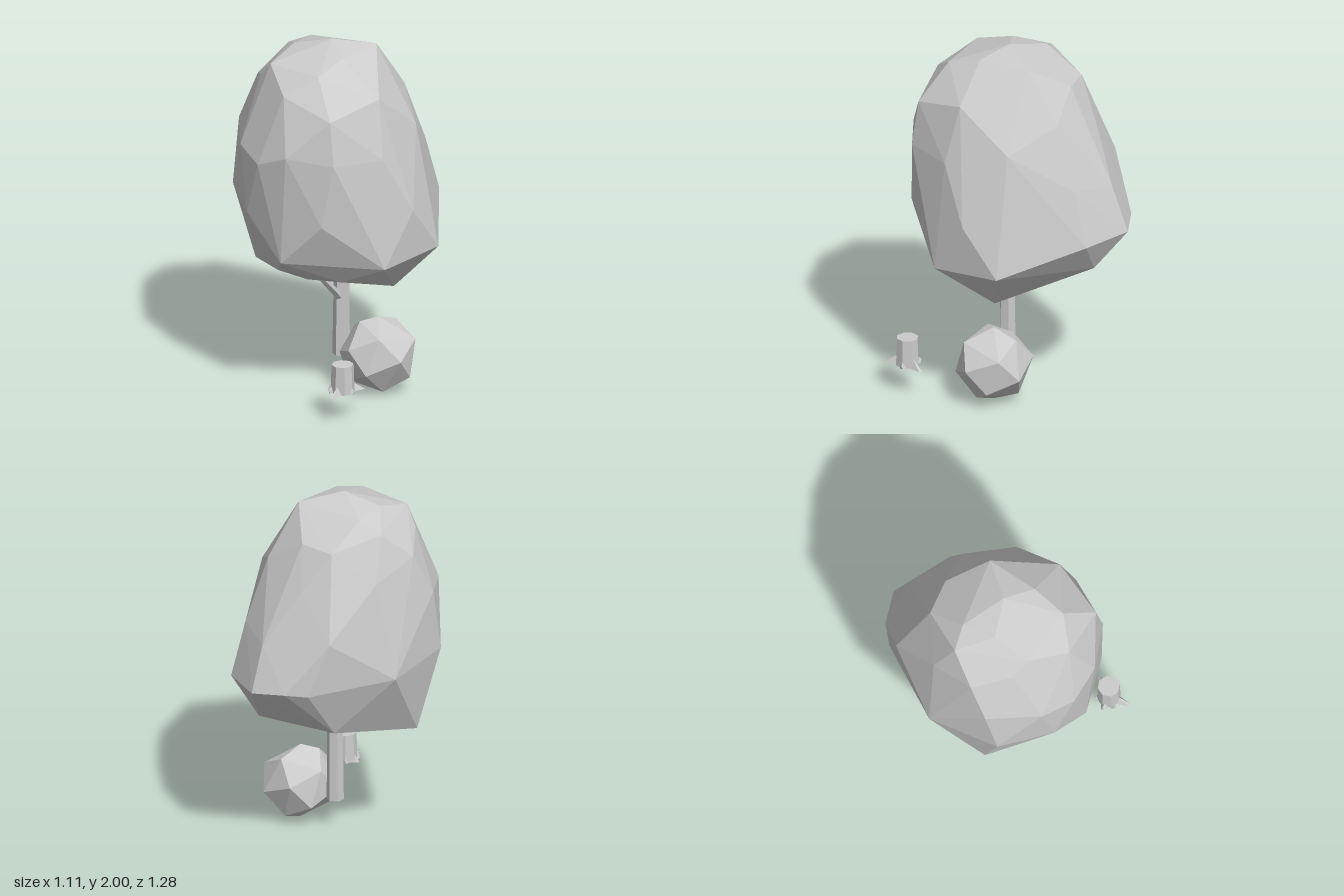
import * as THREE from 'three';
import { ConvexGeometry } from 'three/addons/geometries/ConvexGeometry.js';

const V = (x, y, z) => new THREE.Vector3(x, y, z);

// Corners of the leafy crown, tier by tier from the top down
const crownTiers = [
  [[-0.03, 2, 0.08], [0.13, 1.95, -0.11], [-0.26, 1.93, -0.04], [0.12, 1.95, 0.185], [-0.235, 1.95, 0.15], [-0.39, 1.87, -0.01]],
  [[0.1, 1.895, 0.38], [-0.237, 1.895, 0.365], [-0.04, 1.79, 0.51], [-0.33, 1.8, 0.33], [0.37, 1.77, 0.19], [-0.055, 1.805, -0.28], [-0.25, 1.79, -0.255]],
  [[0.26, 1.7, 0.49], [-0.48, 1.72, 0.15], [-0.445, 1.62, -0.11], [0.175, 1.67, -0.305], [0.4, 1.54, -0.11], [-0.15, 1.575, -0.385]],
  [[0.3, 1.455, 0.51], [0.05, 1.48, 0.615], [-0.145, 1.4, 0.607], [-0.33, 1.45, 0.515], [-0.52, 1.49, 0.27], [0.44, 1.45, 0.25]],
  [[-0.01, 1.275, -0.55], [0.225, 1.32, -0.43], [-0.37, 1.33, -0.4]],
  [[0.535, 1.13, 0.1], [0.24, 1.095, 0.54], [-0.26, 1.08, 0.55], [-0.51, 1.13, 0.34], [-0.555, 1.08, -0.07]],
  [[-0.014, 1.02, -0.64], [0.255, 1.01, -0.515], [-0.295, 1.03, -0.49], [-0.2, 1.04, -0.575]],
  [[0, 0.85, 0.59], [0.485, 0.83, 0.29], [0.55, 0.86, -0.11], [0.08, 0.81, -0.48], [-0.3, 0.755, -0.285]],
  [[-0.13, 0.735, 0.44], [0.23, 0.72, 0.355], [-0.445, 0.67, 0.22], [-0.145, 0.585, 0.15], [0.33, 0.61, 0]],
];

// Hull of the crown corners, with the underside pushed up into a hollow around the trunk
function crownGeometry() {
  const hull = new ConvexGeometry(crownTiers.flat().map((p) => V(...p))).attributes.position;
  const kept = [];
  const rim = new Map();
  const key = (p) => p.toArray().map((n) => n.toFixed(3)).join();
  for (let i = 0; i < hull.count; i += 3) {
    const t = [0, 1, 2].map((k) => new THREE.Vector3().fromBufferAttribute(hull, i + k));
    const middle = V(0, 0, 0).add(t[0]).add(t[1]).add(t[2]).divideScalar(3);
    if (middle.y > 0.73 || middle.z > 0.2) {
      kept.push(...t);
      continue;
    }
    // edges shared by two removed faces cancel out, leaving only the rim
    t.forEach((a, k) => {
      const b = t[(k + 1) % 3];
      if (!rim.delete(key(b) + '|' + key(a))) rim.set(key(a) + '|' + key(b), [a, b]);
    });
  }
  const hollow = V(0.02, 0.76, 0.04);
  for (const [a, b] of rim.values()) kept.push(a, b, hollow);
  const g = new THREE.BufferGeometry().setFromPoints(kept);
  g.computeVertexNormals();
  return g;
}

export function createModel() {
  const model = new THREE.Group();
  model.name = 'treeWithBushAndStump';
  const material = new THREE.MeshStandardMaterial({ color: 0xcccccc, flatShading: true });

  const add = (name, geometry, parent = model) => {
    const mesh = new THREE.Mesh(geometry, material);
    mesh.name = name;
    parent.add(mesh);
    return mesh;
  };

  // Tapered limb between two points
  const limb = (name, from, to, r0, r1, sides, parent) => {
    const dir = to.clone().sub(from);
    const mesh = add(name, new THREE.CylinderGeometry(r1, r0, dir.length(), sides), parent);
    mesh.position.copy(from).add(to).multiplyScalar(0.5);
    mesh.quaternion.setFromUnitVectors(V(0, 1, 0), dir.normalize());
  };

  // Tree
  const tree = new THREE.Group();
  tree.name = 'tree';
  model.add(tree);
  add('crown', crownGeometry(), tree);
  limb('trunk', V(0.02, 0.165, 0.065), V(0.025, 0.78, 0.065), 0.048, 0.042, 6, tree);
  limb('frontBranch', V(0.025, 0.5, 0.08), V(0.03, 0.68, 0.27), 0.024, 0.018, 5, tree);
  limb('backBranch', V(0.025, 0.55, 0.06), V(0.03, 0.76, -0.12), 0.022, 0.016, 5, tree);

  // Bush: hull of points spread evenly over a ball
  const bushPoints = [];
  const count = 18;
  for (let i = 0; i < count; i++) {
    const y = 1 - (2 * i) / (count - 1);
    const r = Math.sqrt(1 - y * y), a = i * 2.39996;
    bushPoints.push(V(r * 0.22 * Math.cos(a), y * 0.214, r * 0.22 * Math.sin(a)));
  }
  add('bush', new ConvexGeometry(bushPoints)).position.set(0.256, 0.214, 0.04);

  // Stump with spreading roots
  const stump = new THREE.Group();
  stump.name = 'stump';
  stump.position.set(0.36, 0.16, 0.51);
  model.add(stump);
  limb('stumpBody', V(0, 0, 0), V(0, 0.16, 0), 0.066, 0.061, 8, stump);
  const roots = [[0.065, -0.11], [0.075, 0], [0.018, 0.125], [-0.085, 0.015], [-0.05, -0.055], [-0.045, 0.06]];
  for (const [x, z] of roots) {
    const d = V(x, 0, z).normalize();
    const side = V(-d.z, 0, d.x).multiplyScalar(0.026);
    const base = d.clone().multiplyScalar(0.045);
    add('root', new ConvexGeometry([
      base.clone().add(side), base.clone().sub(side),
      base.clone().add(V(0, 0.055, 0)),
      d.clone().multiplyScalar(0.08).add(V(0, 0.018, 0)),
      V(x, 0, z).addScaledVector(side, 0.35), V(x, 0, z).addScaledVector(side, -0.35),
    ]), stump);
  }
  return model;
}
